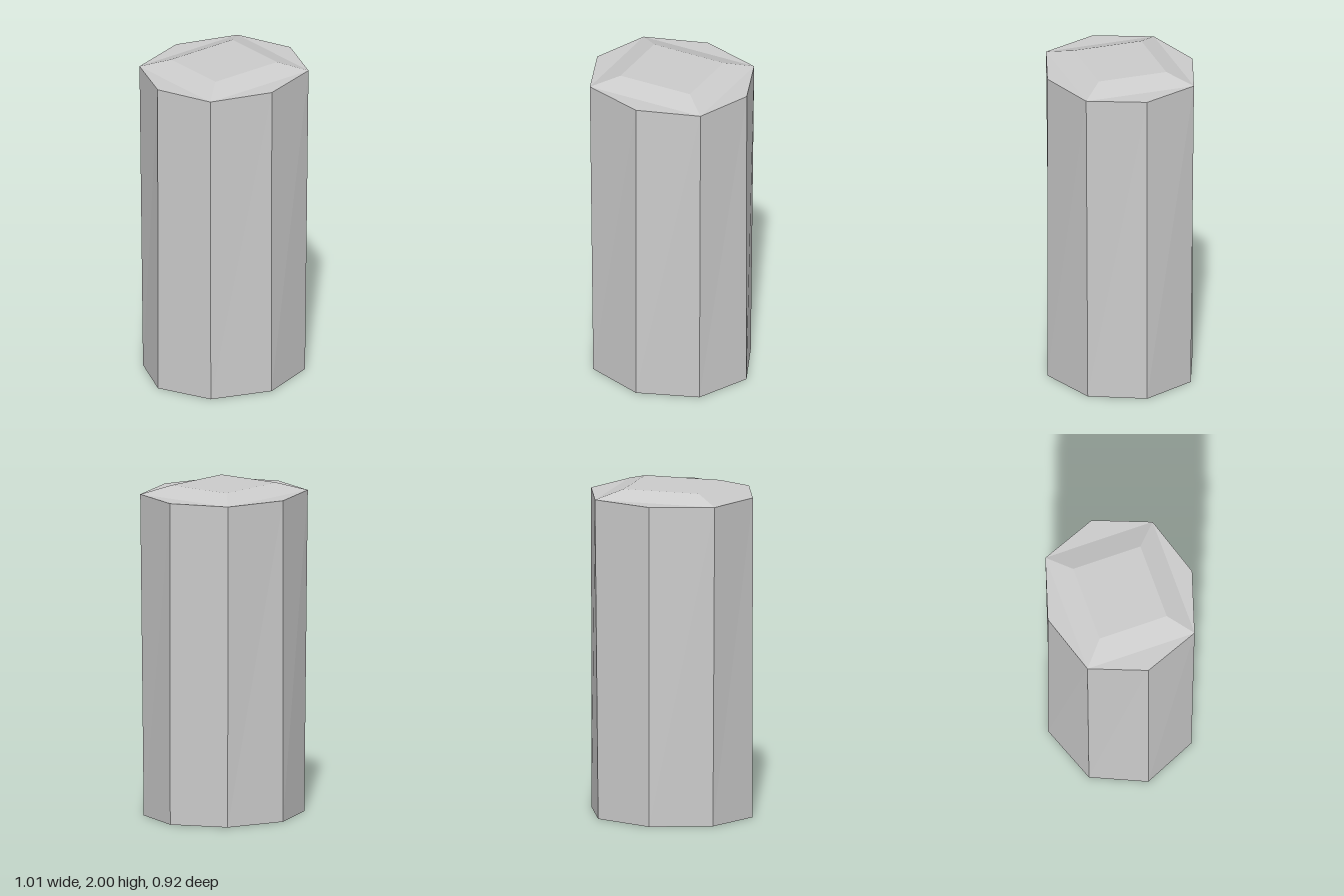
import * as THREE from 'three';

// Ring of points at height y: even points sit on the axes, odd ones on the diagonals.
function octagon(y, axisX, axisZ, diagX, diagZ) {
  return Array.from({ length: 8 }, (_, i) => {
    const sx = Math.sign(Math.round(Math.sin(i * Math.PI / 4) * 10));
    const sz = Math.sign(Math.round(Math.cos(i * Math.PI / 4) * 10));
    const odd = i % 2 === 1;
    return [sx * (odd ? diagX : axisX), y, sz * (odd ? diagZ : axisZ)];
  });
}

// Flat-faced mesh from convex polygons, corners counter-clockwise from outside.
function polygonMesh(name, polygons, material) {
  const points = [];
  for (const p of polygons)
    for (let i = 1; i < p.length - 1; i++) points.push(...p[0], ...p[i], ...p[i + 1]);
  const geometry = new THREE.BufferGeometry();
  geometry.setAttribute('position', new THREE.Float32BufferAttribute(points, 3));
  geometry.computeVertexNormals();
  const mesh = new THREE.Mesh(geometry, material);
  mesh.name = name;
  return mesh;
}

export function createModel() {
  const group = new THREE.Group();
  group.name = 'octagonalColumn';
  const material = new THREE.MeshStandardMaterial({ color: 0xcccccc, flatShading: true });

  const bottom = octagon(0, 0.505, 0.457, 0.36, 0.325);
  const top = octagon(1.95, 0.507, 0.458, 0.375, 0.34);
  const plateau = octagon(2, 0, 0, 0.235, 0.213).filter((_, i) => i % 2 === 1);

  // Eight-sided shaft, its diagonal corners slightly wider at the top, with a closed base
  const shaft = bottom.map((b, i) => {
    const n = (i + 1) % 8;
    return [b, bottom[n], top[n], top[i]];
  });
  shaft.push([...bottom].reverse());
  group.add(polygonMesh('shaft', shaft, material));

  // Flat shoulder triangles and the bevelled rectangular cap between them
  const shoulders = [];
  const cap = [plateau];
  for (let k = 0; k < 4; k++) {
    const i = 2 * k + 1;
    const next = (i + 2) % 8;
    shoulders.push([top[i], top[(i + 1) % 8], top[next]]);
    cap.push([top[i], top[next], plateau[(k + 1) % 4], plateau[k]]);
  }
  group.add(polygonMesh('shoulders', shoulders, material));
  group.add(polygonMesh('bevelledCap', cap, material));
  return group;
}
